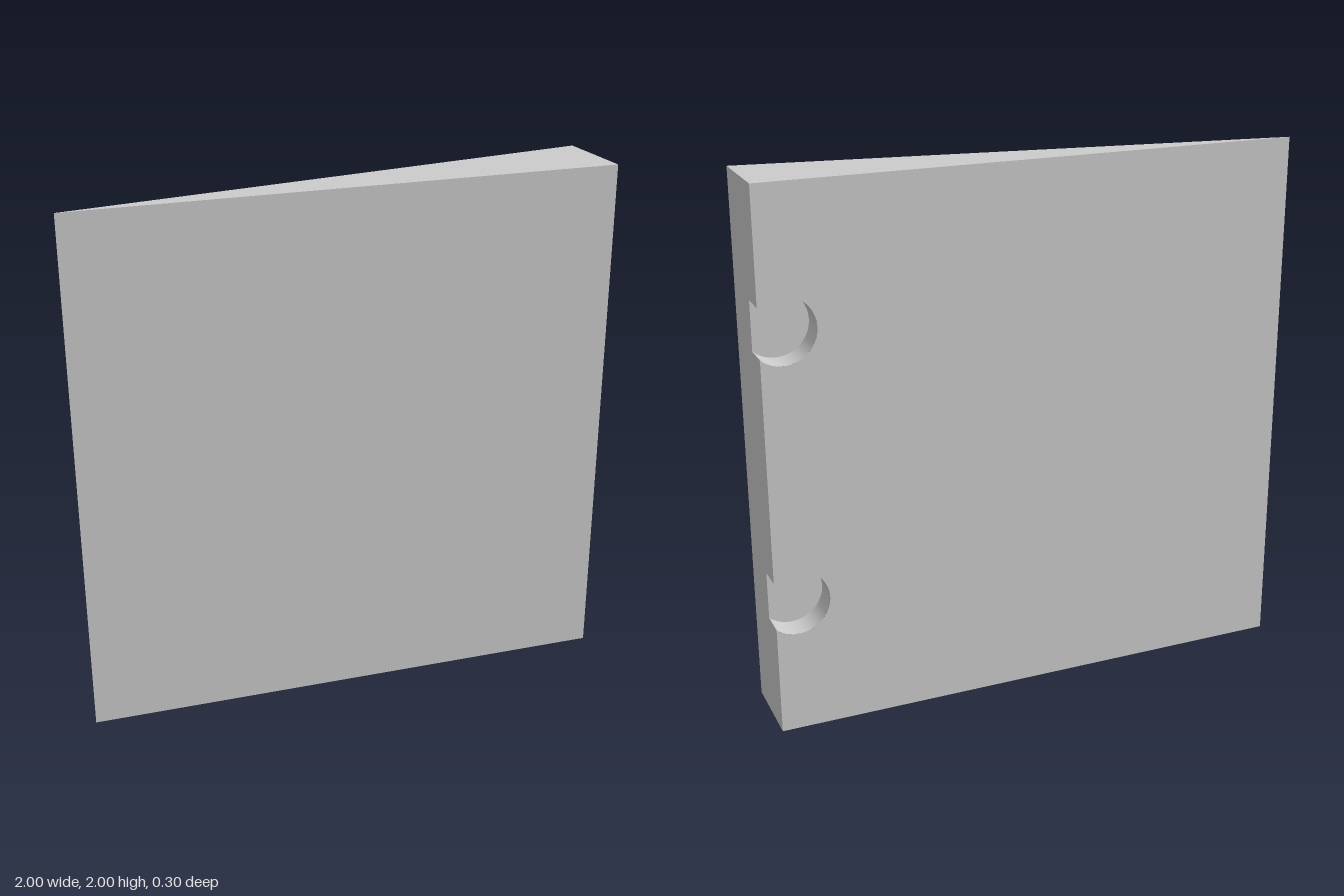
import * as THREE from 'three';

const HALF_T = 0.15;            // half thickness at the thick end
const FLOOR_Z = -0.05;          // depth of the pocket floors
const R = 0.12, INSET = 0.08;   // pocket radius, distance of its centre from the end
const CHORD = Math.sqrt(R * R - INSET * INSET);
const GAP = Math.acos(INSET / R); // half angle of the open side
const POCKETS = [1.5, 0.5];

const material = new THREE.MeshStandardMaterial({ color: 0xcccccc });
const wallMaterial = new THREE.MeshStandardMaterial({ color: 0xcccccc, side: THREE.DoubleSide });

const polygon = (pts) => new THREE.Shape(pts.map(([x, y]) => new THREE.Vector2(x, y)));
const flat = (shape) => new THREE.ShapeGeometry(shape, 48);

// Pocket outline from its upper to its lower mouth corner, in mirrored x
function addArc(shape, y) {
  shape.absarc(INSET - 1, y, R, Math.PI - GAP, GAP - Math.PI, true);
}

export function createModel() {
  const group = new THREE.Group();
  group.name = 'wedgePanel';
  const add = (name, geometry, mat = material) => {
    const mesh = new THREE.Mesh(geometry, mat);
    mesh.name = name;
    group.add(mesh);
  };

  // Sloping front
  add('frontFace', new THREE.PlaneGeometry(Math.hypot(2, 2 * HALF_T), 2)
    .rotateY(-Math.atan2(2 * HALF_T, 2)).translate(0, 1, 0));

  // Triangular top and bottom
  add('topFace', flat(polygon([[-1, HALF_T], [1, -HALF_T], [1, HALF_T]]))
    .rotateX(-Math.PI / 2).translate(0, 2, 0));
  add('bottomFace', flat(polygon([[-1, -HALF_T], [1, -HALF_T], [1, HALF_T]]))
    .rotateX(Math.PI / 2));

  // Back with round bites, and thick end with the pocket mouths
  const back = polygon([[-1, 0], [1, 0], [1, 2], [-1, 2]]);
  const end = [[HALF_T, 0], [HALF_T, 2], [-HALF_T, 2], [-HALF_T, 0]];
  const mouths = [];
  for (const y of POCKETS) {
    back.lineTo(-1, y + CHORD);
    addArc(back, y);
    mouths.unshift([HALF_T, y - CHORD], [-FLOOR_Z, y - CHORD],
      [-FLOOR_Z, y + CHORD], [HALF_T, y + CHORD]);
  }
  end.splice(1, 0, ...mouths);
  add('backFace', flat(back).rotateY(Math.PI).translate(0, 0, -HALF_T));
  add('thickEnd', flat(polygon(end)).rotateY(Math.PI / 2).translate(1, 0, 0));

  // Pocket floors and curved walls
  const depth = FLOOR_Z + HALF_T;
  for (const y of POCKETS) {
    const floor = new THREE.Shape();
    addArc(floor, y);
    add('pocketFloor', flat(floor).rotateY(Math.PI).translate(0, 0, FLOOR_Z));
    add('pocketWall', new THREE.CylinderGeometry(R, R, depth, 48, 1, true,
      Math.PI / 2 + GAP, 2 * (Math.PI - GAP))
      .rotateX(Math.PI / 2).translate(1 - INSET, y, FLOOR_Z - depth / 2), wallMaterial);
  }
  return group;
}
